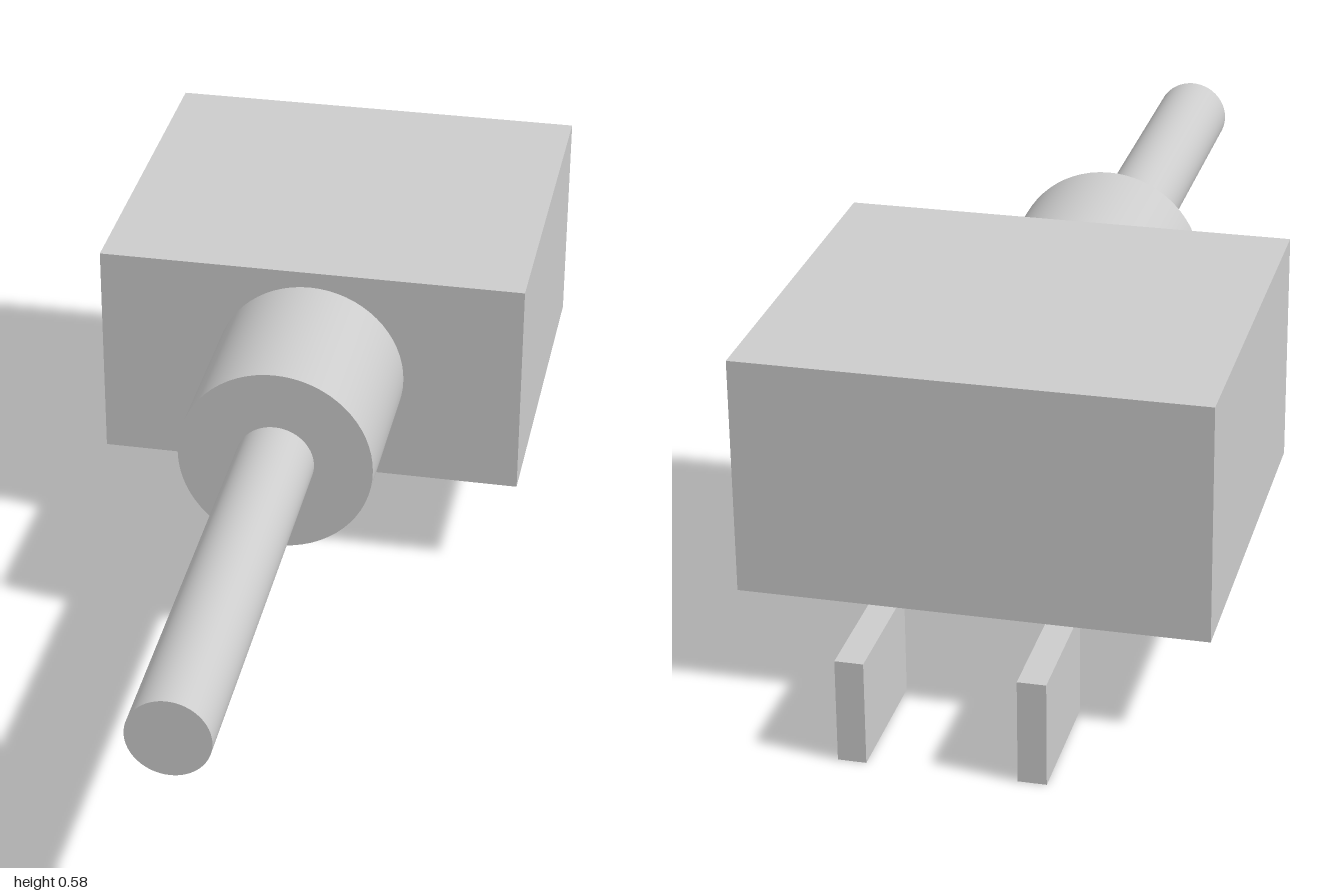
import * as THREE from 'three';

const material = new THREE.MeshStandardMaterial({ color: 0xcccccc });
const AXIS_Y = 0.376;

// Box given by its lower and upper corners
function box(name, min, max) {
  const size = max.map((v, i) => v - min[i]);
  const mesh = new THREE.Mesh(new THREE.BoxGeometry(...size), material);
  mesh.position.set(...max.map((v, i) => (v + min[i]) / 2));
  mesh.name = name;
  return mesh;
}

// Cylinder lying along z on the shaft axis
function rod(name, radius, z0, z1) {
  const geometry = new THREE.CylinderGeometry(radius, radius, z1 - z0, 64);
  geometry.rotateX(Math.PI / 2);
  const mesh = new THREE.Mesh(geometry, material);
  mesh.position.set(0, AXIS_Y, (z0 + z1) / 2);
  mesh.name = name;
  return mesh;
}

export function createModel() {
  const group = new THREE.Group();
  group.name = 'switchWithShaft';

  // Housing block
  group.add(box('housing', [-0.385, 0.175, -0.815], [0.385, 0.577, -0.125]));

  // Collar and the thin shaft in front of it
  group.add(rod('collar', 0.172, -0.125, 0.192));
  group.add(rod('shaft', 0.069, 0.192, 1));

  // Two flat terminals under the rear edge
  for (const [name, x] of [['leftTerminal', 0.144], ['rightTerminal', -0.144]]) {
    group.add(box(name, [x - 0.023, 0, -1], [x + 0.023, 0.175, -0.77]));
  }
  return group;
}
